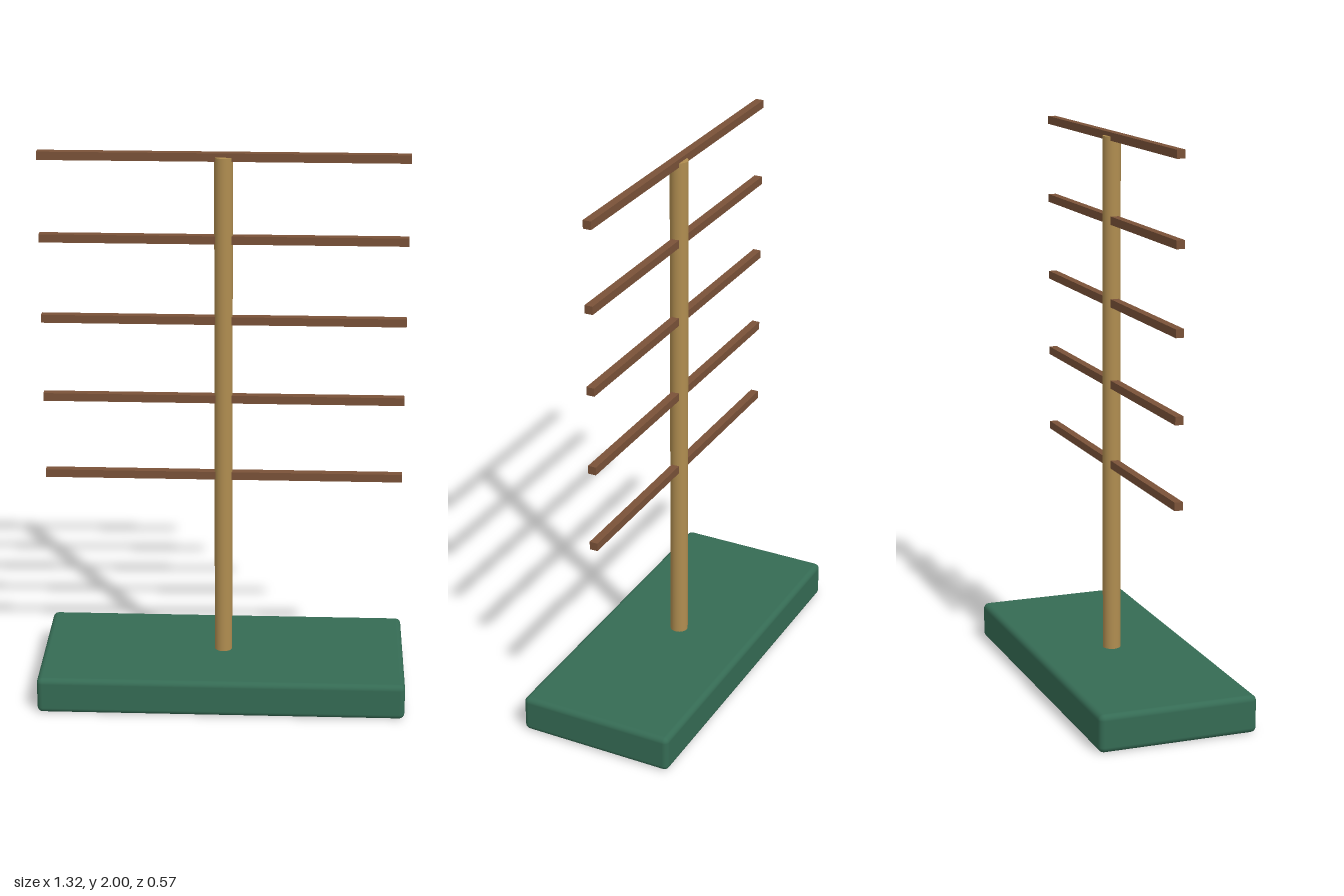
import * as THREE from 'three';
import { RoundedBoxGeometry } from 'three/addons/geometries/RoundedBoxGeometry.js';

const material = (name, color) => {
  const m = new THREE.MeshStandardMaterial({ color });
  m.name = name;
  return m;
};

export function createModel() {
  const group = new THREE.Group();
  group.name = 'barStand';
  const green = material('green', 0x356b54);
  const lightWood = material('light wood', 0xb08d50);
  const darkWood = material('dark wood', 0x7a5238);

  const add = (name, geometry, mat, y) => {
    const mesh = new THREE.Mesh(geometry, mat);
    mesh.name = name;
    mesh.position.y = y;
    group.add(mesh);
  };

  // Rounded slab base
  const baseHeight = 0.134;
  add('base', new RoundedBoxGeometry(1.32, baseHeight, 0.573, 3, 0.02), green, baseHeight / 2);

  // Round upright, standing on the base
  const poleTop = 1.985;
  add('pole', new THREE.CylinderGeometry(0.032, 0.032, poleTop - baseHeight, 24), lightWood, (poleTop + baseHeight) / 2);

  // Five evenly spaced square crossbars running through the pole
  const barGeometry = new THREE.BoxGeometry(1.273, 0.029, 0.029);
  for (let i = 0; i < 5; i++) {
    add(`crossbar${i + 1}`, barGeometry, darkWood, 0.823 + i * 0.2905);
  }
  return group;
}
